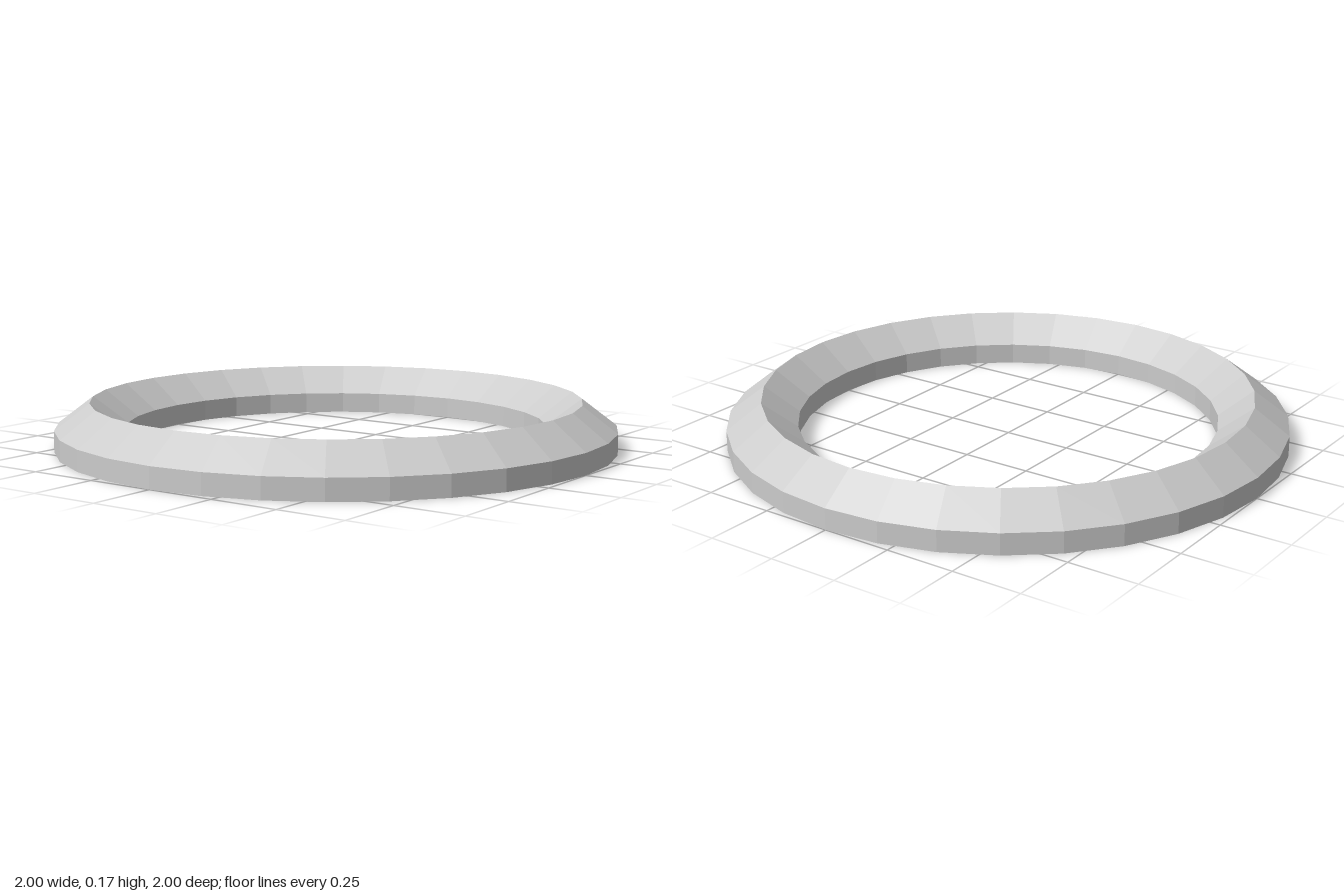
import * as THREE from 'three';

export function createModel() {
  const group = new THREE.Group();
  const material = new THREE.MeshStandardMaterial({ color: 0xcccccc, flatShading: true });

  // Five-sided cross-section: flat base, short walls, ridged top
  const profile = [
    [0.75, 0], [1, 0], [1, 0.075], [0.875, 0.17], [0.75, 0.075], [0.75, 0],
  ].map(([r, y]) => new THREE.Vector2(r, y));

  const ring = new THREE.Mesh(new THREE.LatheGeometry(profile, 32), material);
  ring.name = 'ring';
  group.add(ring);
  return group;
}
